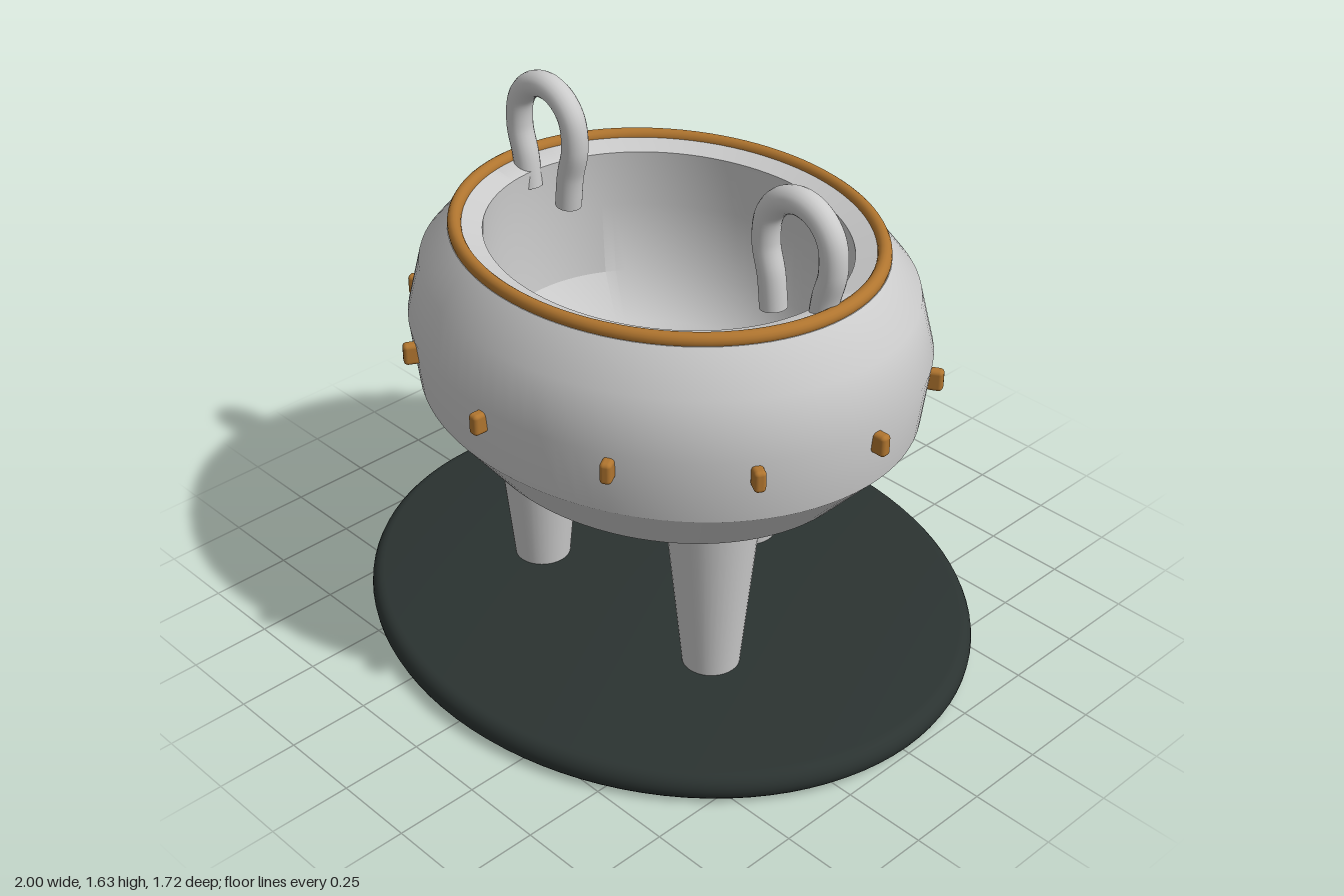
import * as THREE from 'three';
import { toCreasedNormals } from 'three/addons/utils/BufferGeometryUtils.js';
import { RoundedBoxGeometry } from 'three/addons/geometries/RoundedBoxGeometry.js';

const OVAL = 0.86; // depth to width ratio of the oval plan

const grey = new THREE.MeshStandardMaterial({ color: 0xcccccc });
const gold = new THREE.MeshStandardMaterial({ color: 0xb0752f });
const dark = new THREE.MeshStandardMaterial({ color: 0x2b3331 });

function add(parent, name, geometry, material) {
  const mesh = new THREE.Mesh(geometry, material);
  mesh.name = name;
  parent.add(mesh);
  return mesh;
}

// Oval turned body with crisp edges above the crease angle
function ovalLathe(profile, crease) {
  const points = profile.map(([r, y]) => new THREE.Vector2(r, y));
  const geometry = new THREE.LatheGeometry(points, 96);
  geometry.scale(1, 1, OVAL);
  return toCreasedNormals(geometry, crease);
}

export function createModel() {
  const model = new THREE.Group();
  model.name = 'tripodCauldron';

  // Oval plinth with a rounded edge
  const edge = [];
  for (let i = 0; i <= 10; i++) {
    const a = -Math.PI / 2 + (i / 10) * Math.PI;
    edge.push([0.957 + 0.043 * Math.cos(a), 0.05 + 0.045 * Math.sin(a)]);
  }
  add(model, 'plinth', ovalLathe([[0, 0.005], ...edge, [0, 0.095]], 0.6), dark);

  // Bowl: outside from the bottom up, over the lip, then down the inside
  add(model, 'bowl', ovalLathe([
    [0, 0.537], [0.31, 0.56], [0.63, 0.65], [0.79, 0.83], [0.815, 1.03],
    [0.77, 1.2], [0.675, 1.31], [0.63, 1.32], [0.567, 1.3],
    [0.575, 1.12], [0.55, 0.9], [0.45, 0.77], [0.28, 0.67], [0, 0.67],
  ], 0.53), grey);

  // Rim band
  const rim = new THREE.TorusGeometry(0.653, 0.022, 16, 96);
  rim.rotateX(Math.PI / 2);
  rim.scale(1, 1, OVAL);
  rim.translate(0, 1.319, 0);
  add(model, 'rimBand', rim, gold);

  // Three tapered legs, two in front and one behind
  for (const [x, z] of [[0.377, 0.182], [-0.377, 0.182], [0, -0.362]]) {
    const leg = add(model, 'leg', new THREE.CylinderGeometry(0.141, 0.086, 0.56, 40), grey);
    leg.position.set(x, 0.37, z);
  }

  // Ring of studs round the belly
  const studs = new THREE.Group();
  studs.name = 'studs';
  model.add(studs);
  const studGeometry = new RoundedBoxGeometry(0.034, 0.066, 0.05, 3, 0.012);
  for (let i = 0; i < 12; i++) {
    const a = (i / 12) * Math.PI * 2;
    const stud = add(studs, 'stud', studGeometry, gold);
    stud.position.set(0.825 * Math.sin(a), 0.987, 0.825 * OVAL * Math.cos(a));
    stud.rotation.y = a;
  }

  // Upright loop handles, mirrored
  const half = [[0.088, 1.24], [0.1, 1.34], [0.122, 1.43], [0.112, 1.52], [0.066, 1.575]];
  for (const side of [1, -1]) {
    const path = [
      ...half.map(([x, y]) => [-x, y]), [0, 1.595], ...half.slice().reverse(),
    ].map(([x, y]) => new THREE.Vector3(side * 0.508 + x, y, 0));
    const handle = new THREE.Group();
    handle.name = side > 0 ? 'leftHandle' : 'rightHandle';
    model.add(handle);
    add(handle, 'handleLoop', new THREE.TubeGeometry(new THREE.CatmullRomCurve3(path), 64, 0.04, 20), grey);
    // Caps closing the lower ends
    for (const end of [path[0], path[path.length - 1]]) {
      const cap = add(handle, 'handleCap', new THREE.CircleGeometry(0.04, 20), grey);
      cap.position.copy(end);
      cap.rotation.x = Math.PI / 2;
    }
  }

  return model;
}
